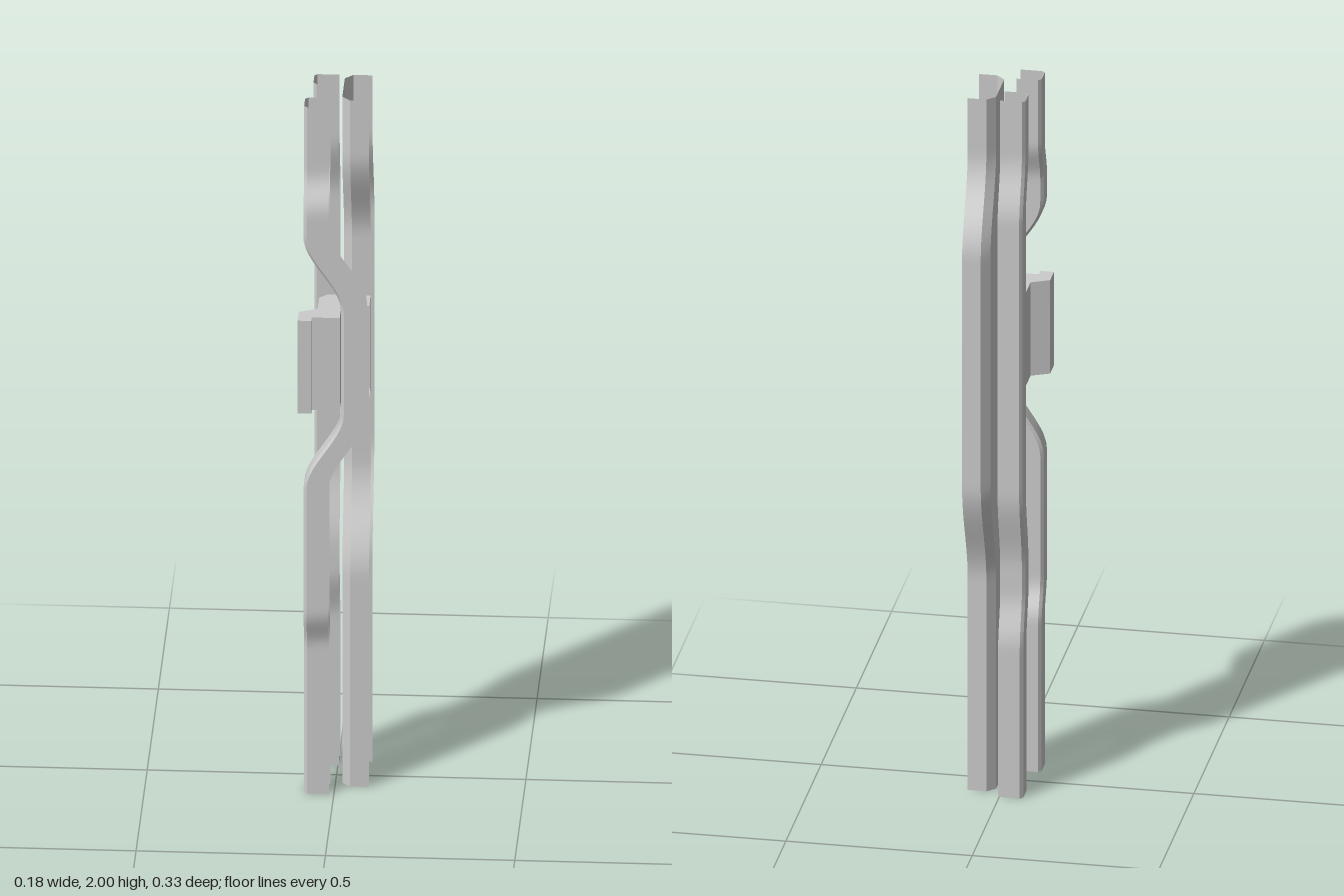
import * as THREE from 'three';

const metal = new THREE.MeshStandardMaterial({ color: 0xcccccc });
const sheetMetal = new THREE.MeshStandardMaterial({ color: 0xcccccc, side: THREE.DoubleSide });

// Sweeps an open [x, z] profile along rows of [y, dx, dz]; smooth along the path, creased at profile corners
function sweep(profile, rows) {
  const pos = [], index = [];
  for (let i = 0; i < profile.length - 1; i++) {
    const base = pos.length / 3;
    for (const [y, dx, dz] of rows) {
      for (const [x, z] of [profile[i], profile[i + 1]]) pos.push(x + dx, y, z + dz);
    }
    for (let r = 0; r < rows.length - 1; r++) {
      const a = base + r * 2;
      index.push(a, a + 1, a + 3, a, a + 3, a + 2);
    }
  }
  const g = new THREE.BufferGeometry();
  g.setAttribute('position', new THREE.Float32BufferAttribute(pos, 3));
  g.setIndex(index);
  g.computeVertexNormals();
  return g;
}

// Channel section: web at x, open towards +x, chamfered corners
function channel(x, depth, z0, z1, c) {
  return [[x + depth, z0], [x + c, z0], [x, z0 + c], [x, z1 - c], [x + c, z1], [x + depth, z1]];
}

// Sum of smooth bends, each [yStart, yEnd, amount]
const bend = (y, bends) =>
  bends.reduce((s, [a, b, amount]) => s + amount * THREE.MathUtils.smoothstep(y, a, b), 0);

function rail(name, profile, bendsX, bendsZ) {
  const rows = [];
  for (let i = 0; i <= 100; i++) {
    const y = i / 50;
    rows.push([y, bend(y, bendsX), bend(y, bendsZ)]);
  }
  const mesh = new THREE.Mesh(sweep(profile, rows), sheetMetal);
  mesh.name = name;
  return mesh;
}

export function createModel() {
  const model = new THREE.Group();
  model.name = 'bentChannelRails';

  // Wide rail, bowed towards the back
  model.add(rail('wideRail', channel(0.018, 0.072, -0.088, 0.07, 0.022), [],
    [[0.61, 0.91, -0.08], [1.57, 1.84, 0.08]]));

  // Narrow rail beside it, stepped back at the foot and in the middle
  model.add(rail('backRail', channel(-0.063, 0.066, -0.117, -0.057, 0.008), [],
    [[0.43, 0.58, 0.03], [0.65, 0.88, -0.038], [1.66, 1.84, 0.038]]));

  // Front rail, stepped forward and then sideways around the bracket
  model.add(rail('frontRail', channel(-0.079, 0.066, 0.059, 0.119, 0.008),
    [[0.9, 1.12, 0.099], [1.42, 1.63, -0.099]],
    [[0.43, 0.54, 0.031], [1.7, 1.81, -0.031]]));

  // Bracket: bent wall between two plates, open at its +x end
  const outline = [[0.09, 0.028], [0.09, 0], [-0.022, 0], [-0.045, 0.022], [-0.045, 0.09],
    [-0.093, 0.113], [-0.093, 0.167], [-0.057, 0.167], [-0.057, 0.145], [0.017, 0.145],
    [0.017, 0.09], [0.04, 0.067], [0.09, 0.067]];
  const bracket = new THREE.Group();
  bracket.name = 'bracket';
  const wall = new THREE.Mesh(sweep(outline, [[1.13, 0, 0], [1.4, 0, 0]]), metal);
  wall.name = 'bracketWall';
  bracket.add(wall);
  const plate = new THREE.ShapeGeometry(
    new THREE.Shape(outline.map(([x, z]) => new THREE.Vector2(x, -z)))).rotateX(-Math.PI / 2);
  for (const [name, y] of [['bracketTop', 1.4], ['bracketBottom', 1.13]]) {
    const cap = new THREE.Mesh(plate, sheetMetal);
    cap.name = name;
    cap.position.y = y;
    bracket.add(cap);
  }
  model.add(bracket);
  return model;
}
